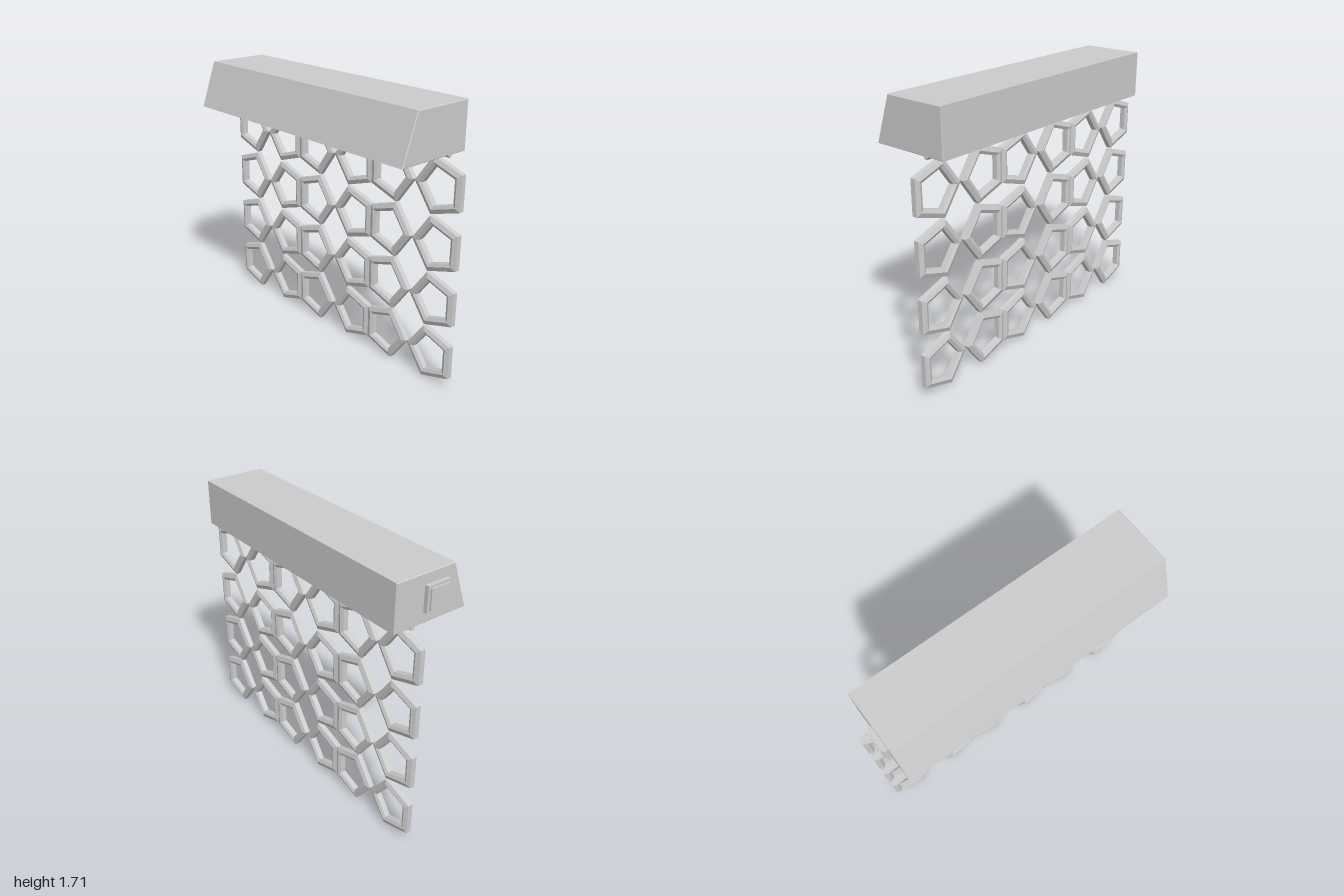
import * as THREE from 'three';

const material = new THREE.MeshStandardMaterial({ color: 0xcccccc, flatShading: true });

// Extrudes a (z, y) profile along x between two x positions, with a small bevel inside the given size
function extrudeAlongX(profile, x0, x1, bevel) {
  const shape = new THREE.Shape(profile.map(([z, y]) => new THREE.Vector2(z, y)));
  const geometry = new THREE.ExtrudeGeometry(shape, {
    depth: x1 - x0 - 2 * bevel,
    bevelEnabled: bevel > 0,
    bevelThickness: bevel,
    bevelSize: bevel,
    bevelOffset: -bevel,
    bevelSegments: 1,
  });
  geometry.rotateY(-Math.PI / 2);
  geometry.translate(x1 - bevel, 0, 0);
  return geometry;
}

function addMesh(parent, name, geometry) {
  const mesh = new THREE.Mesh(geometry, material);
  mesh.name = name;
  parent.add(mesh);
  return mesh;
}

// Five-sided ring with bevelled inner and outer rims, one corner pointing to +x
function pentagonRing(R) {
  const section = [
    [R, -0.016], [R, 0.016],
    [R - 0.033, 0.027], [R - 0.056, 0.017],
    [R - 0.056, -0.017], [R - 0.033, -0.027],
    [R, -0.016],
  ].map(([r, h]) => new THREE.Vector2(r, h));
  const geometry = new THREE.LatheGeometry(section, 5, Math.PI / 2);
  geometry.rotateX(Math.PI / 2);
  return geometry;
}

export function createModel() {
  const model = new THREE.Group();
  model.name = 'pentagonScreen';

  // Housing with sloped front
  const housing = new THREE.Group();
  housing.name = 'housing';
  model.add(housing);
  addMesh(housing, 'housingBody', extrudeAlongX(
    [[-0.25, 1.427], [0.25, 1.427], [0.147, 1.715], [-0.25, 1.715]], -0.91, 0.9, 0.004));

  // Narrow rib under the housing that carries the mesh
  addMesh(housing, 'hangingRib', extrudeAlongX(
    [[-0.145, 1.43], [-0.132, 1.412], [-0.12, 1.412], [-0.107, 1.43]], -0.91, 0.9, 0));

  // Stepped button on the end
  const button = new THREE.Group();
  button.name = 'endButton';
  button.position.set(-0.91, 1.572, 0.02);
  model.add(button);
  addMesh(button, 'buttonBase', new THREE.BoxGeometry(0.04, 0.156, 0.156)).position.x = -0.005;
  addMesh(button, 'buttonCap', new THREE.BoxGeometry(0.04, 0.125, 0.125)).position.x = -0.016;

  // Hanging screen: rings alternate direction so flats and points meet
  const screen = new THREE.Group();
  screen.name = 'hangingScreen';
  screen.position.z = -0.127;
  model.add(screen);
  const radius = 0.181;
  const apothem = radius * Math.cos(Math.PI / 5);
  const ring = pentagonRing(radius);
  for (let row = 0; row < 4; row++) {
    for (let col = 0; col < 6; col++) {
      const pointsRight = col % 2 === 0;
      const flatX = -1 + (2 / 3) * Math.ceil(col / 2);
      const mesh = addMesh(screen, `pentagonRing${row + 1}_${col + 1}`, ring);
      mesh.position.set(flatX + (pointsRight ? apothem : -apothem), 0.177 + row * 0.352, 0);
      if (!pointsRight) mesh.rotation.z = Math.PI;
    }
  }
  return model;
}
